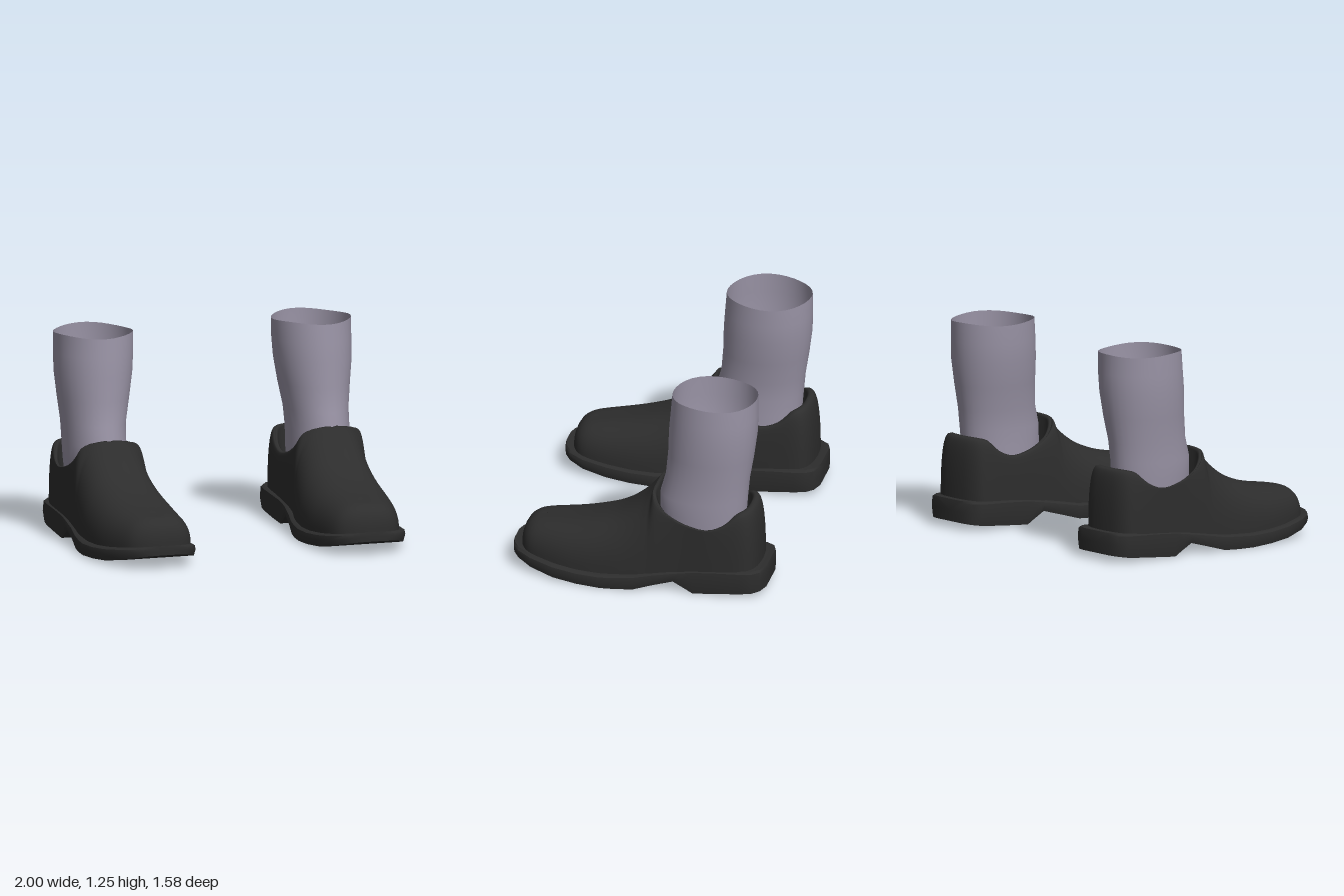
import * as THREE from 'three';
import { mergeGeometries, mergeVertices, toCreasedNormals } from 'three/addons/utils/BufferGeometryUtils.js';

const V = (x, y, z) => new THREE.Vector3(x, y, z);
const lerp = THREE.MathUtils.lerp;

// Skin over rows of points
function skin(rows, flip) {
  const n = rows[0].length, index = [];
  for (let i = 0; i < rows.length - 1; i++) {
    for (let j = 0; j < n - 1; j++) {
      const a = i * n + j, b = a + n, c = b + 1, d = a + 1;
      if (flip) index.push(a, c, b, a, d, c);
      else index.push(a, b, c, a, c, d);
    }
  }
  const g = new THREE.BufferGeometry().setFromPoints(rows.flat());
  g.setIndex(index);
  return g;
}

function smooth(...parts) {
  const g = mergeVertices(mergeGeometries(parts), 1e-4);
  g.computeVertexNormals();
  return g;
}

// Height of the welt line along the shoe
const WELT = [[0.79, 0.14], [0.6, 0.112], [0.4, 0.09], [0.2, 0.085], [0, 0.095], [-0.2, 0.13], [-0.4, 0.16], [-0.79, 0.178]];
function weltY(z) {
  for (let i = 1; i < WELT.length; i++) {
    const [z0, y0] = WELT[i - 1], [z1, y1] = WELT[i];
    if (z >= z1) return lerp(y0, y1, (z0 - z) / (z0 - z1));
  }
  return 0.178;
}

// Sole stations, toe to heel: z, inner x, outer x, bottom y
const SOLE = [
  [0.79, 0.58, 0.74, 0.085], [0.775, 0.52, 0.8, 0.08], [0.74, 0.472, 0.85, 0.07], [0.65, 0.425, 0.91, 0.045],
  [0.5, 0.395, 0.965, 0.02], [0.35, 0.38, 0.99, 0.007], [0.2, 0.378, 0.999, 0], [0.1, 0.388, 0.99, 0],
  [0, 0.405, 0.975, 0.003], [-0.12, 0.43, 0.955, 0.037], [-0.24, 0.45, 0.945, 0.07], [-0.3, 0.455, 0.94, 0.035],
  [-0.36, 0.457, 0.938, 0], [-0.5, 0.455, 0.935, 0.012], [-0.65, 0.458, 0.93, 0.025], [-0.72, 0.465, 0.92, 0.032],
  [-0.765, 0.495, 0.885, 0.038], [-0.79, 0.56, 0.82, 0.042],
];

function soleGeometry(s) {
  const rows = SOLE.map(([z, a, b, y]) => {
    const t = weltY(z), m = lerp(y, t, 0.5);
    return [[a + 0.012, y], [b - 0.012, y], [b, m], [b - 0.006, t - 0.012], [b - 0.025, t],
      [a + 0.025, t], [a + 0.006, t - 0.012], [a, m], [a + 0.012, y]].map(([x, h]) => V(s * x, h, z));
  });
  // Close both ends onto a centre point
  const cap = (row) => {
    const c = row[0].clone().add(row[4]).multiplyScalar(0.5);
    return row.map(() => c.clone());
  };
  const all = [cap(rows[0]), ...rows, cap(rows[rows.length - 1])];
  return toCreasedNormals(skin(all, s < 0), 0.65);
}

// Upper columns, toe to heel: base z, inner x, outer x, then top z, y, half width, centre x
const UPPER = [
  [0.745, 0.66, 0.66, 0.6, 0.298, 0, 0.66], [0.735, 0.565, 0.755, 0.6, 0.298, 0, 0.66],
  [0.69, 0.482, 0.84, 0.58, 0.302, 0, 0.66], [0.6, 0.44, 0.89, 0.53, 0.312, 0, 0.665],
  [0.45, 0.417, 0.935, 0.42, 0.333, 0, 0.675], [0.3, 0.407, 0.955, 0.3, 0.365, 0, 0.685],
  [0.15, 0.412, 0.958, 0.17, 0.415, 0, 0.695], [0.05, 0.425, 0.952, 0.07, 0.475, 0, 0.705],
  [-0.03, 0.44, 0.945, -0.03, 0.555, 0, 0.71], [-0.07, 0.45, 0.94, -0.09, 0.62, 0, 0.71],
  [-0.1, 0.457, 0.937, -0.092, 0.618, 0.1, 0.71], [-0.13, 0.463, 0.934, -0.105, 0.6, 0.155, 0.71],
  [-0.18, 0.468, 0.93, -0.135, 0.55, 0.182, 0.71], [-0.25, 0.472, 0.926, -0.19, 0.5, 0.197, 0.71],
  [-0.33, 0.475, 0.924, -0.3, 0.45, 0.21, 0.71], [-0.44, 0.477, 0.922, -0.44, 0.425, 0.212, 0.71],
  [-0.55, 0.48, 0.918, -0.55, 0.462, 0.2, 0.705], [-0.64, 0.488, 0.908, -0.625, 0.53, 0.17, 0.7],
  [-0.7, 0.515, 0.88, -0.665, 0.545, 0.13, 0.7], [-0.735, 0.59, 0.81, -0.685, 0.548, 0.07, 0.7],
  [-0.745, 0.7, 0.7, -0.69, 0.548, 0, 0.7],
];
const OPENING = 9, SUB = 3, ARCH = 14;

// One half of the upper and its collar lining; k = 1 inner half, 2 outer half
function upperHalf(s, k) {
  const curve = (f) => new THREE.CatmullRomCurve3(UPPER.map(f), false, 'catmullrom', 0.5);
  const base = curve((c) => V(c[k], 0, c[0]));
  const top = curve((c) => V(c[5], c[4], c[3]));
  const mid = curve((c) => V(c[6], 0, 0));
  const steps = (UPPER.length - 1) * SUB, shell = [], lining = [];
  for (let i = 0; i <= steps; i++) {
    const u = i / steps, b = base.getPoint(u), t = top.getPoint(u);
    const half = i <= OPENING * SUB ? 0 : Math.max(0, t.x);
    const tx = mid.getPoint(u).x + (k === 2 ? half : -half), by = weltY(b.z) - 0.015;
    const column = [];
    for (let j = 0; j <= ARCH; j++) {
      const a = (j / ARCH) * Math.PI / 2;
      const c = j === ARCH ? 0 : Math.cos(a) ** 0.75, h = Math.sin(a) ** 0.8;
      column.push(V(s * lerp(tx, b.x, c), lerp(by, t.y, h), lerp(t.z, b.z, c)));
    }
    shell.push(column);
    if (i >= OPENING * SUB) {
      const to = V(0.71 - tx, 0, -0.4 - t.z).normalize();
      const inset = (d, dy) => V(s * (tx + to.x * d), t.y + dy, t.z + to.z * d);
      lining.push([inset(0, 0), inset(0.012, 0.003), inset(0.024, -0.012), inset(0.026, -0.2)]);
    }
  }
  const flip = (s < 0) !== (k === 1);
  return [skin(shell, flip), skin(lining, flip)];
}

// Sock rings: y, centre x, radius x, centre z, radius z
const SOCK = [
  [0.36, 0.705, 0.175, -0.375, 0.255], [0.48, 0.71, 0.182, -0.378, 0.265], [0.58, 0.712, 0.185, -0.383, 0.268],
  [0.7, 0.71, 0.19, -0.405, 0.257], [0.85, 0.704, 0.213, -0.424, 0.262], [1, 0.7, 0.233, -0.436, 0.269],
  [1.12, 0.696, 0.238, -0.443, 0.266], [1.24, 0.695, 0.239, -0.447, 0.26],
];

function sockGeometry(s) {
  const rows = SOCK.map(([y, cx, rx, cz, rz], i) => Array.from({ length: 33 }, (_, j) => {
    const a = (j % 32) / 32 * Math.PI * 2;
    // Slightly wavy top edge
    const wave = i === SOCK.length - 1 ? 0.006 * Math.sin(3 * a + 0.4) : 0;
    return V(s * (cx + rx * Math.cos(a)), y + wave, cz + rz * Math.sin(a));
  }));
  return smooth(skin(rows, s < 0));
}

export function createModel() {
  const leather = new THREE.MeshStandardMaterial({ color: 0x2d2d2d, side: THREE.DoubleSide });
  leather.name = 'black leather';
  const knit = new THREE.MeshStandardMaterial({ color: 0x9a94a6, side: THREE.DoubleSide });
  knit.name = 'grey knit';

  const model = new THREE.Group();
  model.name = 'shoesAndSocks';
  for (const [side, s] of [['left', 1], ['right', -1]]) {
    const foot = new THREE.Group();
    foot.name = side + 'Foot';
    const add = (name, geometry, material) => {
      const mesh = new THREE.Mesh(geometry, material);
      mesh.name = name;
      foot.add(mesh);
    };
    const [inner, innerLining] = upperHalf(s, 1), [outer, outerLining] = upperHalf(s, 2);
    add('sole', soleGeometry(s), leather);
    add('shoeUpper', smooth(inner, outer), leather);
    add('collarLining', smooth(innerLining, outerLining), leather);
    add('sock', sockGeometry(s), knit);
    model.add(foot);
  }
  return model;
}
